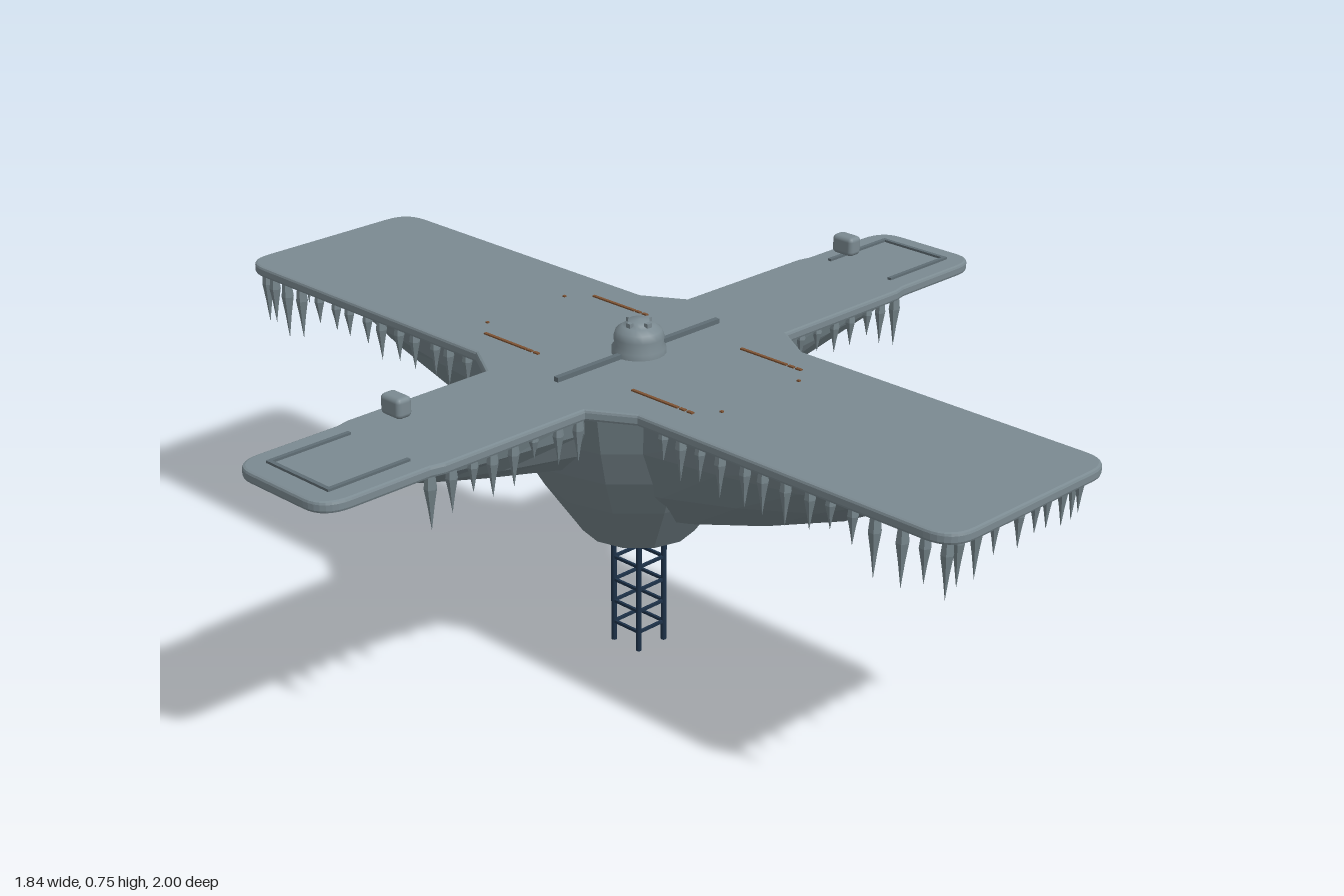
import * as THREE from 'three';
import { RoundedBoxGeometry } from 'three/addons/geometries/RoundedBoxGeometry.js';

const mat = (name, color, extra = {}) => {
  const m = new THREE.MeshStandardMaterial({ color, ...extra });
  m.name = name;
  return m;
};

export function createModel() {
  const model = new THREE.Group();
  model.name = 'hangingPlatform';
  const deckGrey = mat('deckGrey', 0x7b8a91);
  const hullGrey = mat('hullGrey', 0x75848a, { flatShading: true, side: THREE.DoubleSide });
  const trimGrey = mat('trimGrey', 0x5f6d74);
  const rust = mat('rustBrown', 0x7d5233);
  const navy = mat('mastNavy', 0x1d3148);

  const add = (name, geo, material, x = 0, y = 0, z = 0, parent = model) => {
    const m = new THREE.Mesh(geo, material);
    m.name = name;
    m.position.set(x, y, z);
    parent.add(m);
    return m;
  };
  const box = (name, w, h, d, material, x, y, z, parent) =>
    add(name, new THREE.BoxGeometry(w, h, d), material, x, y, z, parent);

  // Cross-shaped deck with rounded ends and chamfered inner corners
  const b = 0.006, X = 0.92 - b, Z = 1 - b, w = 0.235 - b, a = 0.143 - b, r = 0.06;
  const s = new THREE.Shape();
  s.moveTo(w, 0.23);
  s.lineTo(w, Z - r); s.quadraticCurveTo(w, Z, w - r, Z);
  s.lineTo(-w + r, Z); s.quadraticCurveTo(-w, Z, -w, Z - r);
  s.lineTo(-w, 0.23); s.lineTo(-0.285, a);
  s.lineTo(-0.64, a); s.lineTo(-0.67, a - 0.007);
  s.lineTo(-X + r, a - 0.007); s.quadraticCurveTo(-X, a - 0.007, -X, a - r);
  s.lineTo(-X, -a + r); s.quadraticCurveTo(-X, -a + 0.007, -X + r, -a + 0.007);
  s.lineTo(-0.67, -a + 0.007); s.lineTo(-0.64, -a);
  s.lineTo(-0.285, -a); s.lineTo(-w, -0.23);
  s.lineTo(-w, -Z + r); s.quadraticCurveTo(-w, -Z, -w + r, -Z);
  s.lineTo(w - r, -Z); s.quadraticCurveTo(w, -Z, w, -Z + r);
  s.lineTo(w, -0.23); s.lineTo(0.285, -a);
  s.lineTo(0.64, -a); s.lineTo(0.67, -a + 0.007);
  s.lineTo(X - r, -a + 0.007); s.quadraticCurveTo(X, -a + 0.007, X, -a + r);
  s.lineTo(X, a - r); s.quadraticCurveTo(X, a - 0.007, X - r, a - 0.007);
  s.lineTo(0.67, a - 0.007); s.lineTo(0.64, a); s.lineTo(0.285, a);
  s.closePath();
  const deckGeo = new THREE.ExtrudeGeometry(s, {
    depth: 0.012, bevelEnabled: true, bevelSize: b, bevelThickness: b, bevelSegments: 2, curveSegments: 8,
  });
  deckGeo.rotateX(-Math.PI / 2);
  add('deck', deckGeo, deckGrey, 0, 0.638, 0);

  // Faceted central hull
  const hubProfile = [[0, 0.215], [0.04, 0.235], [0.12, 0.27], [0.2, 0.385], [0.25, 0.47], [0.285, 0.55], [0.31, 0.636]]
    .map(([x, y]) => new THREE.Vector2(x, y));
  add('centralHull', new THREE.LatheGeometry(hubProfile, 12), hullGrey);

  // Keel under an arm, lofted along +z from stations [distance, half width, lowest y]
  const section = [[-1, 0], [-0.92, 0.3], [-0.66, 0.68], [-0.25, 0.97], [0.25, 0.97], [0.66, 0.68], [0.92, 0.3], [1, 0]];
  const keel = (stations) => {
    const pos = [], idx = [], n = section.length, top = 0.638;
    for (const [d, hw, low] of stations)
      for (const [u, v] of section) pos.push(u * hw, top + (low - top) * v, d);
    for (let i = 0; i < stations.length - 1; i++)
      for (let j = 0; j < n - 1; j++) {
        const p = i * n + j, q = p + n;
        idx.push(p, p + 1, q, p + 1, q + 1, q);
      }
    const g = new THREE.BufferGeometry();
    g.setAttribute('position', new THREE.Float32BufferAttribute(pos, 3));
    g.setIndex(idx);
    g.computeVertexNormals();
    return g;
  };
  const longKeel = keel([[0.08, 0.2, 0.315], [0.2, 0.205, 0.345], [0.4, 0.205, 0.41], [0.6, 0.2, 0.49], [0.78, 0.165, 0.59], [0.85, 0.1, 0.634]]);
  const shortKeel = keel([[0.15, 0.128, 0.45], [0.26, 0.128, 0.48], [0.45, 0.128, 0.525], [0.6, 0.125, 0.565], [0.72, 0.1, 0.603], [0.8, 0.06, 0.634]]);
  for (let i = 0; i < 4; i++)
    add(i % 2 ? 'sideArmKeel' : 'longArmKeel', i % 2 ? shortKeel : longKeel, hullGrey).rotation.y = i * Math.PI / 2;

  // Icicles hanging from the deck edges
  let seed = 7;
  const rand = () => (seed = (seed * 16807) % 2147483647) / 2147483647;
  const icicleGeo = new THREE.LatheGeometry(
    [[0, -1], [0.5, -0.6], [1, -0.28], [0.7, 0]].map(([x, y]) => new THREE.Vector2(x, y)), 6);
  const icicles = new THREE.Group();
  icicles.name = 'icicles';
  model.add(icicles);
  const icicle = (x, z, len) => {
    const k = 0.008 + len * 0.04;
    add('icicle', icicleGeo, hullGrey, x, 0.638, z, icicles).scale.set(k, len, k);
  };
  for (const e of [-1, 1]) {
    for (let i = 0; i < 9; i++)
      icicle(-0.2 + i * 0.05, e * (0.965 - rand() * 0.02), 0.08 + rand() * 0.05);
    for (const side of [-1, 1]) {
      for (let z = 0.27; z < 0.95; z += 0.054)
        icicle(side * 0.216, e * (z + rand() * 0.015), (z > 0.78 ? 0.1 : 0.06) + rand() * 0.04);
      for (let x = 0.29; x < 0.58; x += 0.052)
        icicle(side * (x + rand() * 0.015), e * 0.127, 0.05 + rand() * 0.05);
      icicle(side * 0.61, e * 0.122, 0.1);
      icicle(side * 0.66, e * 0.12, 0.12);
    }
  }

  // Central dome and ridge beam
  const dome = [[0.056, 0.65], [0.056, 0.668], [0.05, 0.676], [0.052, 0.69], [0.047, 0.705], [0.034, 0.714], [0.022, 0.717], [0.022, 0.725], [0, 0.727]]
    .map(([x, y]) => new THREE.Vector2(x, y)).reverse();
  add('dome', new THREE.LatheGeometry(dome.reverse(), 20), deckGrey);
  for (const [x, z] of [[0.025, 0], [-0.025, 0], [0, 0.025], [0, -0.025]])
    box('domeStud', 0.012, 0.012, 0.012, deckGrey, x, 0.718, z);
  box('ridgeBeam', 0.46, 0.012, 0.012, trimGrey, 0, 0.66, 0);

  for (const e of [-1, 1]) {
    // Landing rails and floating lamp on each side arm
    const rails = new THREE.Group();
    rails.name = 'armRails';
    model.add(rails);
    for (const f of [-1, 1]) box('rail', 0.19, 0.006, 0.009, trimGrey, e * 0.775, 0.658, f * 0.086, rails);
    box('endRail', 0.009, 0.006, 0.18, trimGrey, e * 0.868, 0.658, 0, rails);
    add('floatingLamp', new RoundedBoxGeometry(0.036, 0.042, 0.056, 2, 0.01), deckGrey, e * 0.635, 0.728, 0);

    // Dashed rust strips and studs on the deck
    for (const f of [-1, 1]) {
      box('rustStrip', 0.007, 0.004, 0.125, rust, e * 0.155, 0.657, f * 0.2 + (f > 0 ? 0 : -0.03));
      for (let i = 0; i < 2; i++)
        box('rustDash', 0.007, 0.004, 0.014, rust, e * 0.155, 0.657, f > 0 ? 0.275 + i * 0.02 : -0.157 + i * 0.02);
      box('rustStud', 0.006, 0.004, 0.006, rust, e * 0.11, 0.657, f * 0.335);
    }
  }

  // Lattice mast below the hull
  const mast = new THREE.Group();
  mast.name = 'mast';
  model.add(mast);
  const m = 0.037;
  for (const e of [-1, 1]) {
    for (const f of [-1, 1])
      add('mastPost', new THREE.CylinderGeometry(0.006, 0.006, 0.26, 8), navy, e * m, 0.13, f * m, mast);
    for (const y of [0.043, 0.092, 0.142, 0.195]) {
      box('rungAcross', 2 * m, 0.006, 0.006, navy, 0, y, e * m, mast);
      box('rungAlong', 0.006, 0.006, 2 * m, navy, e * m, y, 0, mast);
    }
  }
  return model;
}
